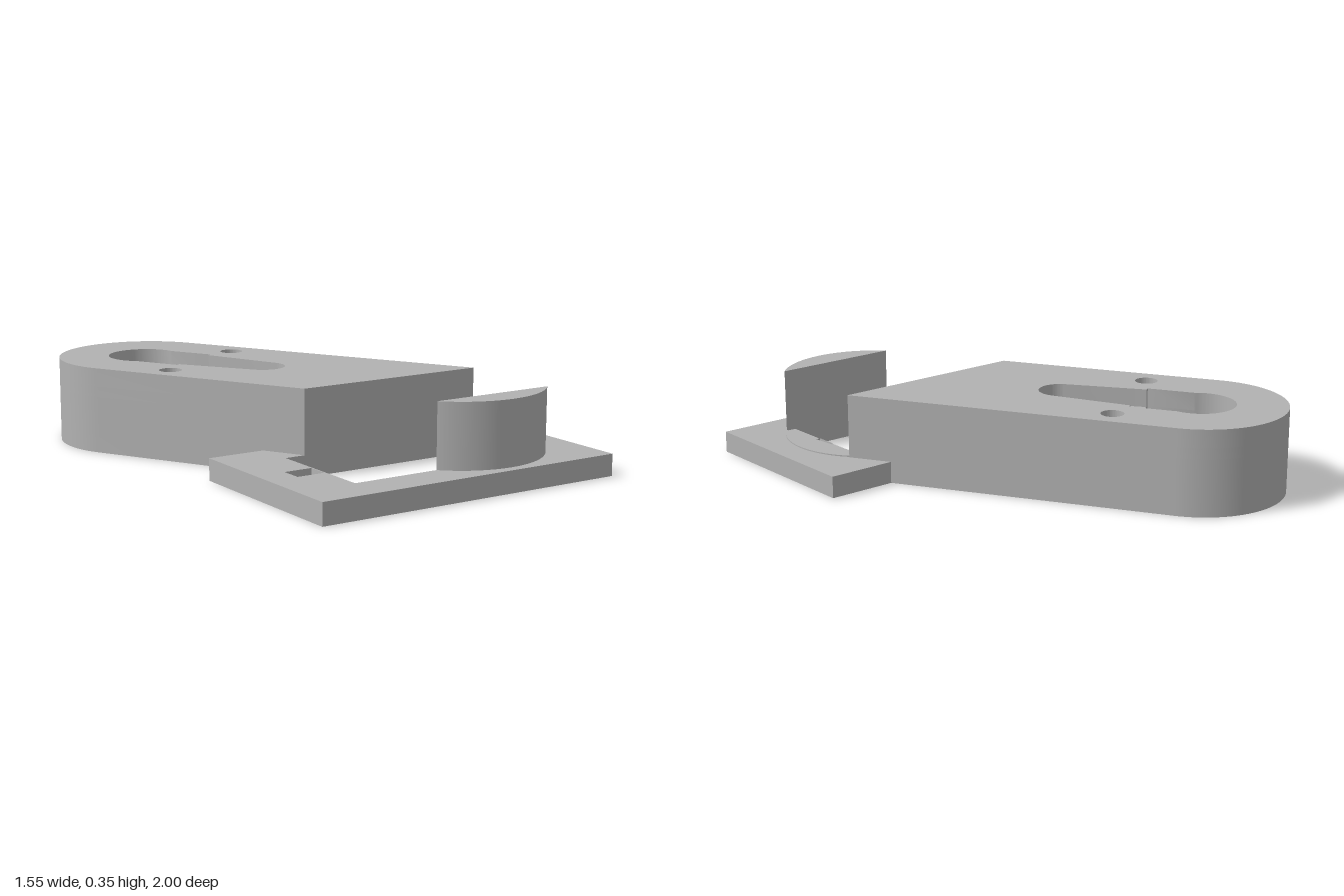
import * as THREE from 'three';
import { toCreasedNormals } from 'three/addons/utils/BufferGeometryUtils.js';

const H = 0.355;        // full height
const BASE = 0.09;      // frame thickness
const R = 0.36;         // arm end radius, also the radius of the stop
const HUB_FLOOR = H - 0.12;
const HORN_FLOOR = H - 0.075;

// Shapes are drawn in plan with y = -z.
const rect = (C, x0, x1, z0, z1) => new C([[x0, -z1], [x1, -z1], [x1, -z0], [x0, -z0]]
  .map(([x, y]) => new THREE.Vector2(x, y)));

const circle = (x, z, r) => new THREE.Path().absarc(x, -z, r, 0, Math.PI * 2, false);

// Upright prism from a plan shape, between two heights
function prism(name, shape, y0, y1, material) {
  const flat = new THREE.ExtrudeGeometry(shape, { depth: y1 - y0, bevelEnabled: false, curveSegments: 40 });
  flat.rotateX(-Math.PI / 2).translate(0, y0, 0);
  const mesh = new THREE.Mesh(toCreasedNormals(flat, 0.5), material);
  mesh.name = name;
  return mesh;
}

// Arm outline: round end, straight sides, oblique cut at the window
function armOutline() {
  const cut = u => -(1.01 + 0.5 * u) / Math.cos(Math.PI / 6);
  const s = new THREE.Shape();
  s.absarc(0, 0, R, 0, Math.PI, false);
  s.lineTo(-R, cut(-R));
  s.lineTo(R, cut(R));
  s.closePath();
  for (const side of [-1, 1]) s.holes.push(circle(side * 0.253, 0.287, 0.047));
  return s;
}

// Recess outline: hub circle with a short slot, optionally with the tapered horn
function recess(withHorn) {
  const w = 0.14, end = -0.25, a = Math.acos(w / 0.15);
  const p = new THREE.Path();
  p.absarc(0, 0, 0.15, -a, Math.PI + a, false);
  p.lineTo(-w, end);
  if (withHorn) {
    p.lineTo(-0.122, end);
    p.absarc(0, -0.582, 0.09, Math.PI + 0.09, Math.PI * 2 - 0.09, false);
    p.lineTo(0.122, end);
  }
  p.lineTo(w, end);
  p.closePath();
  return p;
}

export function createModel() {
  const grey = new THREE.MeshStandardMaterial({ color: 0xb2b2b2 });
  grey.name = 'plain grey';
  const model = new THREE.Group();
  model.name = 'mountingBracket';

  // Flat frame with a window and two small slots
  const frame = rect(THREE.Shape, -0.59, 0.775, 0.205, 1);
  frame.holes.push(
    rect(THREE.Path, -0.34, 0.525, 0.365, 0.84),
    rect(THREE.Path, -0.465, -0.345, 0.555, 0.645),
    rect(THREE.Path, 0.53, 0.65, 0.555, 0.645));
  model.add(prism('frame', frame, 0, BASE, grey));

  // Slanted arm in three layers, so the recess steps down to the through hole
  const arm = new THREE.Group();
  arm.name = 'arm';
  const layers = [
    ['armBase', 0, HUB_FLOOR, circle(0, 0, 0.145)],
    ['armHubLayer', HUB_FLOOR, HORN_FLOOR, recess(false)],
    ['armHornLayer', HORN_FLOOR, H, recess(true)],
  ];
  for (const [name, y0, y1, hole] of layers) {
    const s = armOutline();
    s.holes.push(hole);
    arm.add(prism(name, s, y0, y1, grey));
  }
  arm.rotation.y = Math.PI / 6;
  arm.position.set(-0.42, 0, -0.645);
  model.add(arm);

  // Upright stop: a circle segment standing on the front rail
  const cx = 0.3, cz = 0.6;
  const half = Math.asin((0.84 - cz) / R);
  const stop = new THREE.Shape();
  stop.absarc(cx, -cz, R, Math.PI + half, Math.PI * 2 - half, false);
  stop.closePath();
  model.add(prism('stop', stop, BASE, H, grey));

  // Thin raised rim of the same circle beside the window
  const rim = new THREE.Shape();
  rim.moveTo(0.525, -0.84);
  rim.absarc(cx, -cz, R, -half, Math.asin((cz - 0.365) / R), false);
  rim.lineTo(0.525, -0.365);
  rim.closePath();
  rim.holes.push(rect(THREE.Path, 0.53, 0.65, 0.555, 0.645));
  model.add(prism('rim', rim, BASE, BASE + 0.005, grey));

  return model;
}
